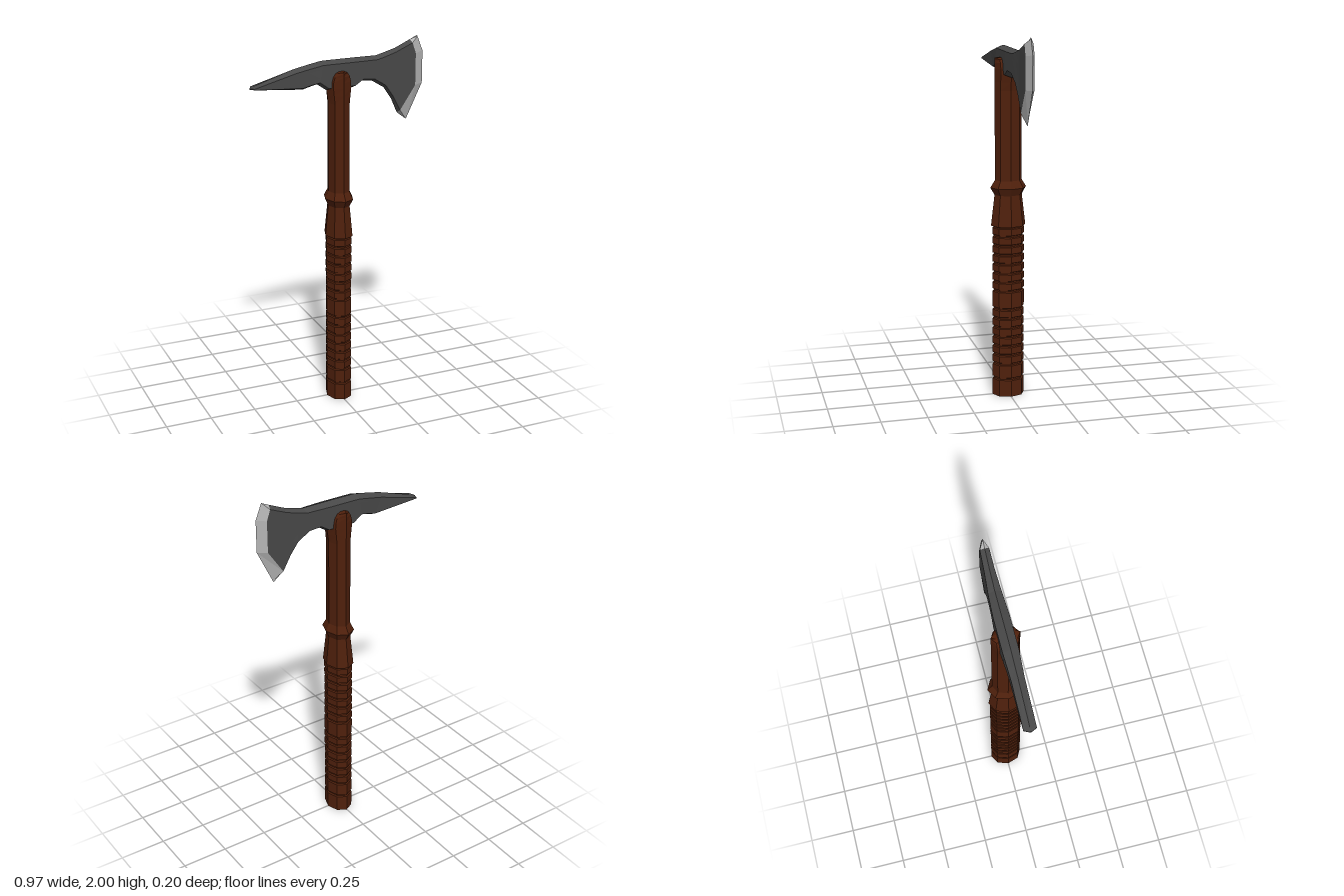
import * as THREE from 'three';

// Skin a list of equal-length rings that run counterclockwise about the loft direction
function loft(rings, capStart = true, capEnd = true) {
  const pos = [];
  const tri = (a, b, c) => pos.push(...a, ...b, ...c);
  const n = rings[0].length;
  for (let i = 0; i < rings.length - 1; i++) {
    for (let j = 0; j < n; j++) {
      const k = (j + 1) % n;
      const a = rings[i][j], b = rings[i][k], c = rings[i + 1][k], d = rings[i + 1][j];
      tri(a, b, c);
      tri(a, c, d);
    }
  }
  const cap = (ring, flip) => {
    const mid = [0, 1, 2].map(q => ring.reduce((s, p) => s + p[q], 0) / n);
    ring.forEach((p, j) => {
      const next = ring[(j + 1) % n];
      if (flip) tri(mid, next, p); else tri(mid, p, next);
    });
  };
  if (capStart) cap(rings[0], true);
  if (capEnd) cap(rings[rings.length - 1], false);
  const g = new THREE.BufferGeometry();
  g.setAttribute('position', new THREE.Float32BufferAttribute(pos, 3));
  g.computeVertexNormals();
  return g;
}

// Eight-sided handle section with a corner facing front
function octagon([y, rx, rz]) {
  return Array.from({ length: 8 }, (_, i) => {
    const a = i * Math.PI / 4;
    return [rx * Math.sin(a), y, rz * Math.cos(a)];
  });
}

// Head section from six outline points: ridge, four side points, ridge
function headRing(pts, t) {
  const side = pts.slice(1, 5);
  return [
    [...pts[0], 0], ...side.map(([x, y]) => [x, y, t]),
    [...pts[5], 0], ...side.reverse().map(([x, y]) => [x, y, -t]),
  ];
}

// Straight head section between a top point and a bottom point, with bevelled ends
function straightRing([tx, ty, bx, by, t]) {
  const f = Math.min(0.3, 0.016 / Math.hypot(tx - bx, ty - by));
  const pts = [0, f, 0.3 + f * 0.1, 0.7 - f * 0.1, 1 - f, 1]
    .map(v => [tx + (bx - tx) * v, ty + (by - ty) * v]);
  return headRing(pts, t);
}

export function createModel() {
  const wood = new THREE.MeshStandardMaterial({ color: 0x4f200c });
  const steel = new THREE.MeshStandardMaterial({ color: 0x484848 });
  const edge = new THREE.MeshStandardMaterial({ color: 0xb4b4b4 });
  wood.name = 'brown wood';
  steel.name = 'dark steel';
  edge.name = 'bright edge';

  const model = new THREE.Group();
  model.name = 'axe';
  const add = (name, geometry, material) => {
    material.flatShading = true;
    const mesh = new THREE.Mesh(geometry, material);
    mesh.name = name;
    model.add(mesh);
  };

  // Grip with two groups of grooves
  const grooves = [0.1, 0.185];
  for (let i = 0; i < 6; i++) grooves.push(0.238 + i * 0.052);
  for (let i = 0; i < 8; i++) grooves.push(0.6 + i * 0.0505);
  const grip = [[0, 0.069, 0.088]];
  for (const y of grooves) {
    grip.push([y - 0.008, 0.069, 0.088], [y - 0.004, 0.061, 0.08],
      [y + 0.004, 0.061, 0.08], [y + 0.008, 0.069, 0.088]);
  }
  add('grip', loft(grip.map(octagon)), wood);

  // Flared ferrule, collar, shaft and the rounded eye around the head
  add('shaft', loft([
    [0.957, 0.075, 0.095], [1.125, 0.059, 0.075], [1.165, 0.077, 0.098],
    [1.205, 0.058, 0.073], [1.685, 0.058, 0.073], [1.73, 0.064, 0.073],
    [1.77, 0.07, 0.073], [1.8, 0.069, 0.073], [1.83, 0.058, 0.073],
    [1.848, 0.04, 0.073], [1.856, 0.015, 0.073],
  ].map(octagon)), wood);

  // Spike and blade body: top x, top y, bottom x, bottom y, half thickness
  const body = [
    [-0.485, 1.803, -0.485, 1.797, 0.001],
    [-0.47, 1.81, -0.47, 1.796, 0.033],
    [-0.25, 1.88, -0.2, 1.77, 0.033],
    [-0.18, 1.895, -0.16, 1.781, 0.036],
    [-0.1, 1.91, -0.12, 1.79, 0.04],
    [-0.06, 1.911, -0.07, 1.755, 0.04],
    [0.08, 1.912, 0.08, 1.757, 0.04],
    [0.13, 1.912, 0.125, 1.786, 0.038],
    [0.21, 1.912, 0.19, 1.779, 0.034],
    [0.26, 1.925, 0.257, 1.738, 0.03],
    [0.32, 1.942, 0.3, 1.675, 0.026],
  ].map(straightRing);
  const inner = headRing([[0.405, 1.98], [0.411, 1.965], [0.431, 1.908],
    [0.431, 1.738], [0.345, 1.61], [0.336, 1.594]], 0.023);
  add('axeHead', loft([...body, inner]), steel);

  // Sharpened cutting edge
  const outer = headRing([[0.447, 2], [0.45, 1.993], [0.481, 1.915],
    [0.481, 1.742], [0.394, 1.56], [0.389, 1.553]], 0);
  add('cuttingEdge', loft([inner, outer], true, false), edge);

  return model;
}
